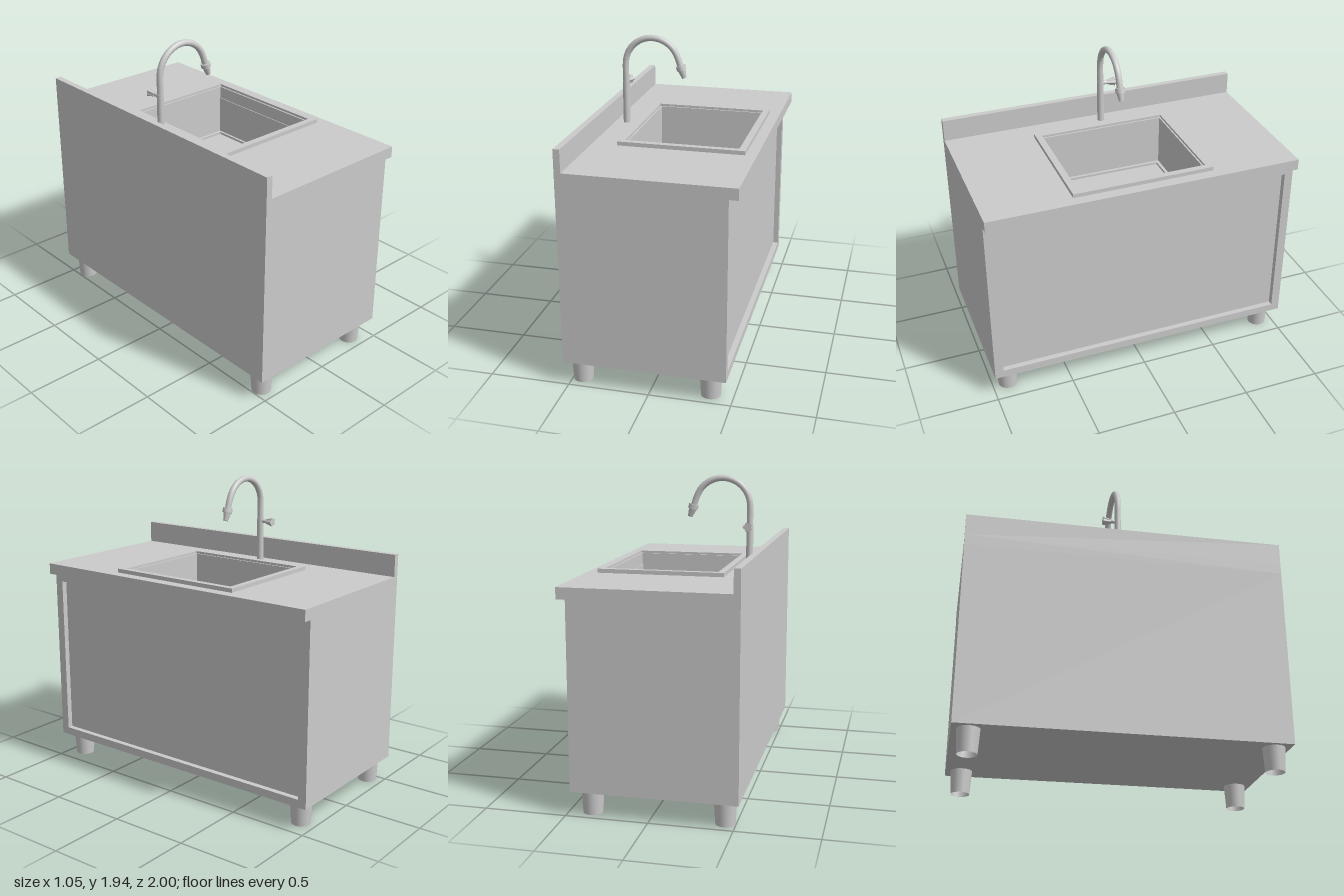
import * as THREE from 'three';

const grey = new THREE.MeshStandardMaterial({ color: 0xcccccc });
const greyOpen = new THREE.MeshStandardMaterial({ color: 0xcccccc, side: THREE.DoubleSide });

function add(parent, name, geometry, material = grey) {
  const mesh = new THREE.Mesh(geometry, material);
  mesh.name = name;
  parent.add(mesh);
  return mesh;
}

// Box given by its limits on each axis
function box(parent, name, [x0, x1], [y0, y1], [z0, z1]) {
  const mesh = add(parent, name, new THREE.BoxGeometry(x1 - x0, y1 - y0, z1 - z0));
  mesh.position.set((x0 + x1) / 2, (y0 + y1) / 2, (z0 + z1) / 2);
  return mesh;
}

function rect(target, u0, u1, v0, v1) {
  target.moveTo(u0, v0);
  target.lineTo(u1, v0);
  target.lineTo(u1, v1);
  target.lineTo(u0, v1);
  target.closePath();
  return target;
}

// Rectangular plate with a rectangular hole, each given as [u0, u1, v0, v1]
function plate(outer, hole, depth) {
  const shape = rect(new THREE.Shape(), ...outer);
  shape.holes.push(rect(new THREE.Path(), ...hole));
  return new THREE.ExtrudeGeometry(shape, { depth, bevelEnabled: false });
}

// Horizontal plate: u is x, v is z, standing on y
function flatPlate(outer, hole, y, height) {
  return plate(outer, hole, height).rotateX(Math.PI / 2).translate(0, y + height, 0);
}

// Turned part with its axis running from one point to another
function turned(parent, name, from, to, r0, r1) {
  const dir = to.clone().sub(from);
  const mesh = add(parent, name, new THREE.CylinderGeometry(r1, r0, dir.length(), 24));
  mesh.position.copy(from).addScaledVector(dir, 0.5);
  mesh.quaternion.setFromUnitVectors(new THREE.Vector3(0, 1, 0), dir.normalize());
  return mesh;
}

function buildCabinet() {
  const g = new THREE.Group();
  g.name = 'cabinet';
  box(g, 'backPanel', [-0.53, -0.5], [0.15, 1.29], [-1, 1]);
  for (const s of [-1, 1]) {
    box(g, 'endPanel', [-0.5, 0.435], [0.15, 1.29], s < 0 ? [-1, -0.97] : [0.97, 1]);
  }
  box(g, 'bottomPanel', [-0.5, 0.435], [0.15, 0.18], [-0.97, 0.97]);
  box(g, 'recessedPanel', [0.4, 0.435], [0.18, 1.29], [-0.97, 0.97]);
  // Raised border around the recessed panel
  const frame = plate([-1, 1, 0.15, 1.29], [-0.945, 0.945, 0.2, 1.235], 0.035);
  add(g, 'panelFrame', frame.rotateY(Math.PI / 2).translate(0.435, 0, 0));
  return g;
}

function buildCounter() {
  const g = new THREE.Group();
  g.name = 'counter';
  add(g, 'worktop', flatPlate([-0.53, 0.525, -1, 1], [-0.29, 0.415, -0.41, 0.41], 1.29, 0.07));
  box(g, 'backsplash', [-0.53, -0.49], [1.36, 1.5], [-1, 1]);
  return g;
}

function buildSink() {
  const g = new THREE.Group();
  g.name = 'sink';
  add(g, 'sinkRim', flatPlate([-0.33, 0.455, -0.45, 0.45], [-0.29, 0.415, -0.41, 0.41], 1.36, 0.025));
  // Basin walls with a small step at the floor
  add(g, 'basinWalls', flatPlate([-0.3, 0.425, -0.42, 0.42], [-0.28, 0.405, -0.4, 0.4], 1.03, 0.34));
  add(g, 'basinLedge', flatPlate([-0.28, 0.405, -0.4, 0.4], [-0.26, 0.385, -0.38, 0.38], 1.03, 0.015));
  box(g, 'basinFloor', [-0.3, 0.425], [1.01, 1.03], [-0.42, 0.42]);
  return g;
}

function buildFaucet() {
  const g = new THREE.Group();
  g.name = 'faucet';
  const v = (x, y, z = 0) => new THREE.Vector3(x, y, z);

  turned(g, 'faucetPost', v(-0.415, 1.36), v(-0.415, 1.64), 0.022, 0.022);

  // Gooseneck: straight rise, arc over, short straight drop
  const points = [v(-0.415, 1.62), v(-0.415, 1.68)];
  for (let i = 0; i <= 10; i++) {
    const a = Math.PI - (i / 10) * Math.PI * (160 / 180);
    points.push(v(-0.24 + 0.175 * Math.cos(a), 1.745 + 0.175 * Math.sin(a)));
  }
  points.push(v(-0.055, 1.745));
  add(g, 'gooseneck', new THREE.TubeGeometry(new THREE.CatmullRomCurve3(points), 64, 0.02, 16));

  // Nozzle
  turned(g, 'nozzleCollar', v(-0.056, 1.752), v(-0.048, 1.725), 0.031, 0.031);
  turned(g, 'nozzleTip', v(-0.05, 1.73), v(-0.031, 1.675), 0.026, 0.015);

  // Side valve with a fluted, flaring knob
  turned(g, 'valveStem', v(-0.415, 1.625, 0), v(-0.415, 1.625, -0.06), 0.012, 0.012);
  const knob = new THREE.CylinderGeometry(0.03, 0.016, 0.05, 40, 1);
  const p = knob.attributes.position;
  for (let i = 0; i < p.count; i++) {
    const k = 0.87 + 0.13 * Math.cos(5 * Math.atan2(p.getZ(i), p.getX(i)));
    p.setX(i, p.getX(i) * k);
    p.setZ(i, p.getZ(i) * k);
  }
  knob.rotateX(-Math.PI / 2);
  knob.computeVertexNormals();
  add(g, 'valveKnob', knob).position.set(-0.415, 1.625, -0.073);

  g.position.z = -0.035;
  return g;
}

export function createModel() {
  const model = new THREE.Group();
  model.name = 'sinkUnit';
  model.add(buildCabinet(), buildCounter(), buildSink(), buildFaucet());

  // Tapered hollow feet
  for (const x of [-0.437, 0.36]) {
    for (const z of [-0.9, 0.9]) {
      add(model, 'foot', new THREE.CylinderGeometry(0.068, 0.059, 0.15, 32, 1, true), greyOpen)
        .position.set(x, 0.075, z);
    }
  }
  return model;
}
